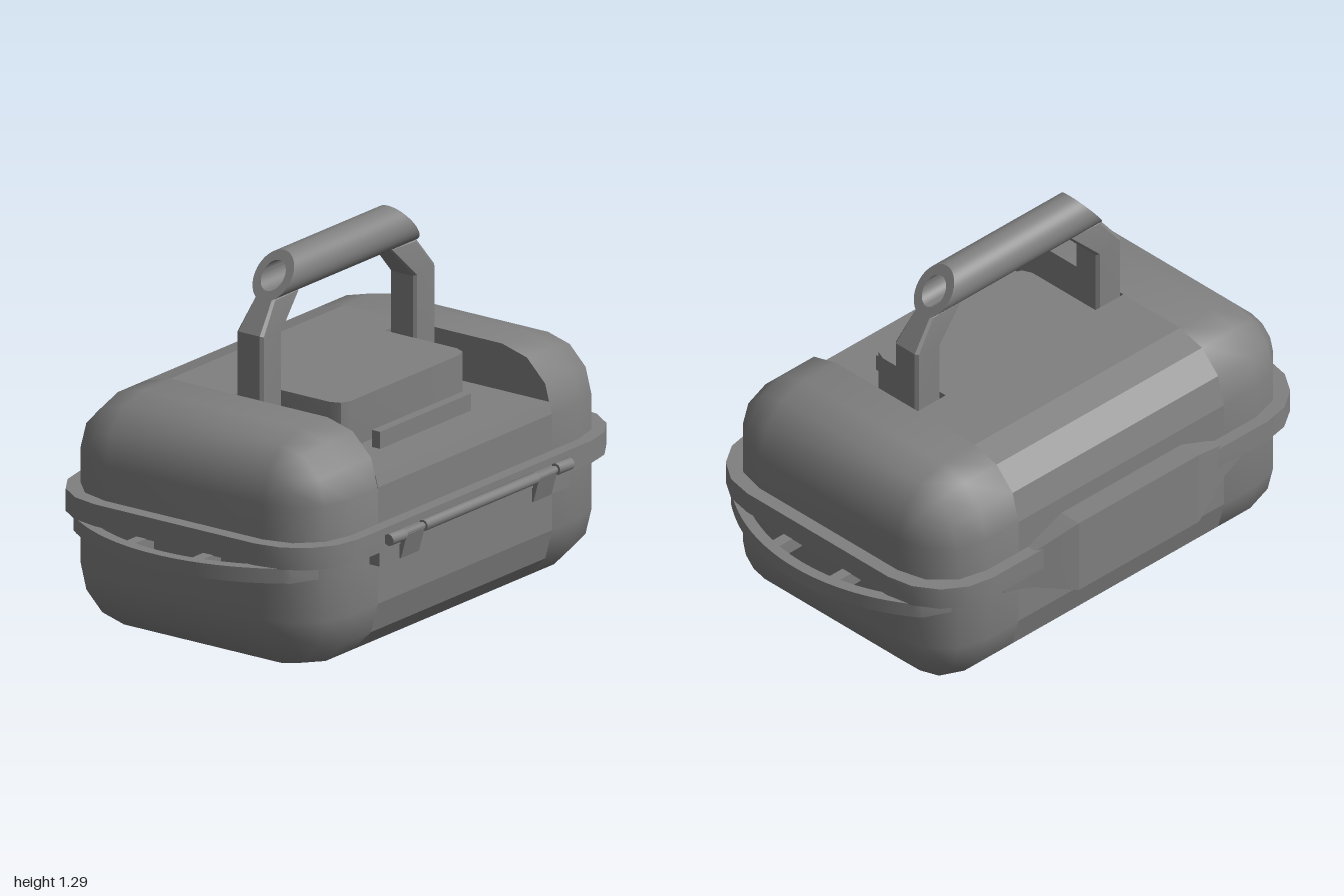
import * as THREE from 'three';
import { toCreasedNormals } from 'three/addons/utils/BufferGeometryUtils.js';

const MAT = new THREE.MeshStandardMaterial({ color: 0x808080 });
const HALF_W = 0.54, HALF_L = 0.84, HALF_H = 0.4125, R = 0.21, NOTCH = 0.48, FLOOR = 0.66;

const points = list => list.map(p => new THREE.Vector2(...p));

function add(parent, name, geo, crease = 0.7) {
  const mesh = new THREE.Mesh(toCreasedNormals(geo, crease), MAT);
  mesh.name = name;
  parent.add(mesh);
}

function box(parent, name, [x0, x1], [y0, y1], [z0, z1]) {
  const g = new THREE.BoxGeometry(x1 - x0, y1 - y0, z1 - z0);
  add(parent, name, g.translate((x0 + x1) / 2, (y0 + y1) / 2, (z0 + z1) / 2));
}

// Corner points of a rounded rectangle, counter-clockwise
function roundedRect(w, h, r, segments = 3, inset = 0) {
  const pts = [];
  [[1, 1], [-1, 1], [-1, -1], [1, -1]].forEach(([sx, sy], q) => {
    for (let i = 0; i <= segments; i++) {
      const a = (q + i / segments) * Math.PI / 2;
      pts.push(new THREE.Vector2(
        sx * (w - r) + (r - inset) * Math.cos(a),
        sy * (h - r) + (r - inset) * Math.sin(a)));
    }
  });
  return pts;
}

// Skin over x-y sections that advance along +z, closed at both ends
function loft(sections) {
  const n = sections[0].pts.length, pos = [], idx = [];
  for (const { z, pts } of sections) for (const p of pts) pos.push(p.x, p.y, z);
  for (let i = 0; i < sections.length - 1; i++) {
    for (let j = 0; j < n; j++) {
      const a = i * n + j, b = i * n + (j + 1) % n;
      idx.push(a, b, b + n, a, b + n, a + n);
    }
  }
  const last = (sections.length - 1) * n;
  for (let j = 1; j < n - 1; j++) {
    idx.push(0, j + 1, j, last, last + j, last + j + 1);
  }
  const g = new THREE.BufferGeometry();
  g.setAttribute('position', new THREE.Float32BufferAttribute(pos, 3));
  g.setIndex(idx);
  return g;
}

// Plan shape raised from y0 to y1
function slab(shape, y0, y1) {
  const g = new THREE.ExtrudeGeometry(shape, { depth: y1 - y0, bevelEnabled: false, curveSegments: 16 });
  return g.rotateX(-Math.PI / 2).translate(0, y0, 0);
}

function caseSection(inset) {
  return roundedRect(HALF_W, HALF_H, R, 3, inset).map(p => p.add(new THREE.Vector2(0, HALF_H)));
}

function buildCase(group) {
  // Rounded ends
  const sections = [{ z: NOTCH, pts: caseSection(0) }];
  for (let i = 0; i <= 3; i++) {
    const a = i / 3 * Math.PI / 2;
    sections.push({ z: HALF_L - R + R * Math.sin(a), pts: caseSection(R * (1 - Math.cos(a))) });
  }
  for (const turn of [0, Math.PI]) add(group, 'caseEnd', loft(sections).rotateY(turn));

  // Middle, with the lid stepped down on one side
  const profile = caseSection(0);
  profile.splice(0, 4, ...points([[0.54, 0.62], [0.53, FLOOR], [-0.06, FLOOR], [-0.06, 2 * HALF_H]]));
  const middle = new THREE.ExtrudeGeometry(new THREE.Shape(profile), { depth: 2 * NOTCH, bevelEnabled: false });
  add(group, 'caseMiddle', middle.translate(0, 0, -NOTCH), 0.2);

  // Raised block and low bar standing in the step
  const block = new THREE.Shape(points([[-0.06, -0.35], [0.24, -0.35], [0.275, -0.335], [0.29, -0.3],
    [0.29, 0.3], [0.275, 0.335], [0.24, 0.35], [-0.06, 0.35]]));
  add(group, 'lidBlock', slab(block, FLOOR - 0.02, 2 * HALF_H));
  box(group, 'lidBar', [0.34, 0.375], [FLOOR - 0.01, 0.72], [-0.25, 0.25]);

  // Rim around the lid
  add(group, 'lidRim', slab(new THREE.Shape(roundedRect(0.585, 0.89, 0.25, 4)), 0.413, 0.492));
}

// Crescent plates at both ends, each with three openings
function buildEndRails(group) {
  const plate = new THREE.Shape();
  plate.moveTo(0.5, 0.755);
  plate.absarc(0, 0.247, 0.753, Math.PI / 2 - 0.65, Math.PI / 2 + 0.65, false);
  plate.lineTo(-0.5, 0.755);
  const inner = x => [x, 0.247 + Math.sqrt(0.713 ** 2 - x * x)];
  const openings = [[-0.12, -0.06, 0, 0.06, 0.12], [0.16, 0.22, 0.28, 0.33, 0.37], [-0.37, -0.33, -0.28, -0.22, -0.16]];
  for (const xs of openings) {
    plate.holes.push(new THREE.Path(points([[xs[0], 0.845], ...xs.map(inner), [xs[4], 0.845]])));
  }
  for (const turn of [0, Math.PI]) add(group, 'endRail', slab(plate, 0.363, 0.415).rotateY(turn));
}

function buildLatch(group) {
  // z, outer x, bottom y, top y
  const rows = [[-0.55, -0.541, 0.36, 0.45], [-0.46, -0.565, 0.35, 0.48],
    [-0.4, -0.588, 0.33, 0.508], [-0.28, -0.624, 0.28, 0.553]];
  const all = [...rows, ...rows.slice().reverse().map(([z, ...r]) => [-z, ...r])];
  add(group, 'latch', loft(all.map(([z, x, lo, hi]) => ({
    z, pts: points([[x, lo], [-0.5, lo], [-0.5, hi], [x, hi]]),
  }))), 0.25);
}

function buildHinge(group) {
  box(group, 'hingePlate', [0.5, 0.582], [0.362, 0.415], [-0.525, 0.525]);
  const rod = (name, r, z0, z1) => {
    const g = new THREE.CylinderGeometry(r, r, z1 - z0, 10).rotateX(Math.PI / 2);
    add(group, name, g.translate(0.6, 0.453, (z0 + z1) / 2));
  };
  rod('hingePin', 0.012, -0.48, 0.48);
  rod('hingeBarrel', 0.02, -0.31, 0.31);
  const leaf = new THREE.Shape(points([[0.56, 0.363], [0.587, 0.363], [0.612, 0.45], [0.6, 0.465], [0.56, 0.465]]));
  for (const s of [-1, 1]) {
    rod('hingeEndBarrel', 0.021, s * 0.46 - 0.04, s * 0.46 + 0.04);
    const g = new THREE.ExtrudeGeometry(leaf, { depth: 0.1, bevelEnabled: false });
    add(group, 'hingeLeaf', g.translate(0, 0, s * 0.365 - 0.05));
  }
}

function buildHandle(group) {
  const handle = new THREE.Group();
  handle.name = 'handle';

  // Hollow grip, ends cut on the slope of the legs
  const ring = new THREE.Shape().absarc(0, 1.22, 0.075, 0, Math.PI * 2, false);
  ring.holes.push(new THREE.Path().absarc(0, 1.22, 0.045, 0, Math.PI * 2, true));
  const grip = new THREE.ExtrudeGeometry(ring, { depth: 1, bevelEnabled: false, curveSegments: 20 });
  grip.translate(0, 0, -0.5);
  const gp = grip.attributes.position;
  for (let i = 0; i < gp.count; i++) {
    gp.setZ(i, Math.sign(gp.getZ(i)) * (0.48 - (gp.getY(i) - 1.05) * 0.79));
  }
  add(handle, 'grip', grip);

  // Legs, narrowing towards the grip
  const outline = new THREE.Shape(points([[0.465, 0.69], [0.48, 0.71], [0.48, 1.05], [0.393, 1.16],
    [0.245, 1.16], [0.365, 1.035], [0.365, 0.71], [0.38, 0.69]]));
  for (const turn of [0, Math.PI]) {
    const leg = new THREE.ExtrudeGeometry(outline, {
      depth: 0.09, bevelThickness: 0.01, bevelSize: 0.01, bevelOffset: -0.01, bevelSegments: 1,
    });
    leg.translate(0, 0, -0.045).rotateY(-Math.PI / 2);
    const p = leg.attributes.position;
    for (let i = 0; i < p.count; i++) if (p.getY(i) > 1.1) p.setX(i, p.getX(i) * 0.72);
    add(handle, 'handleLeg', leg.rotateY(turn), 0.4);
  }
  group.add(handle);
}

export function createModel() {
  const group = new THREE.Group();
  group.name = 'carryCase';
  buildCase(group);
  buildEndRails(group);
  buildLatch(group);
  buildHinge(group);
  buildHandle(group);
  return group;
}
